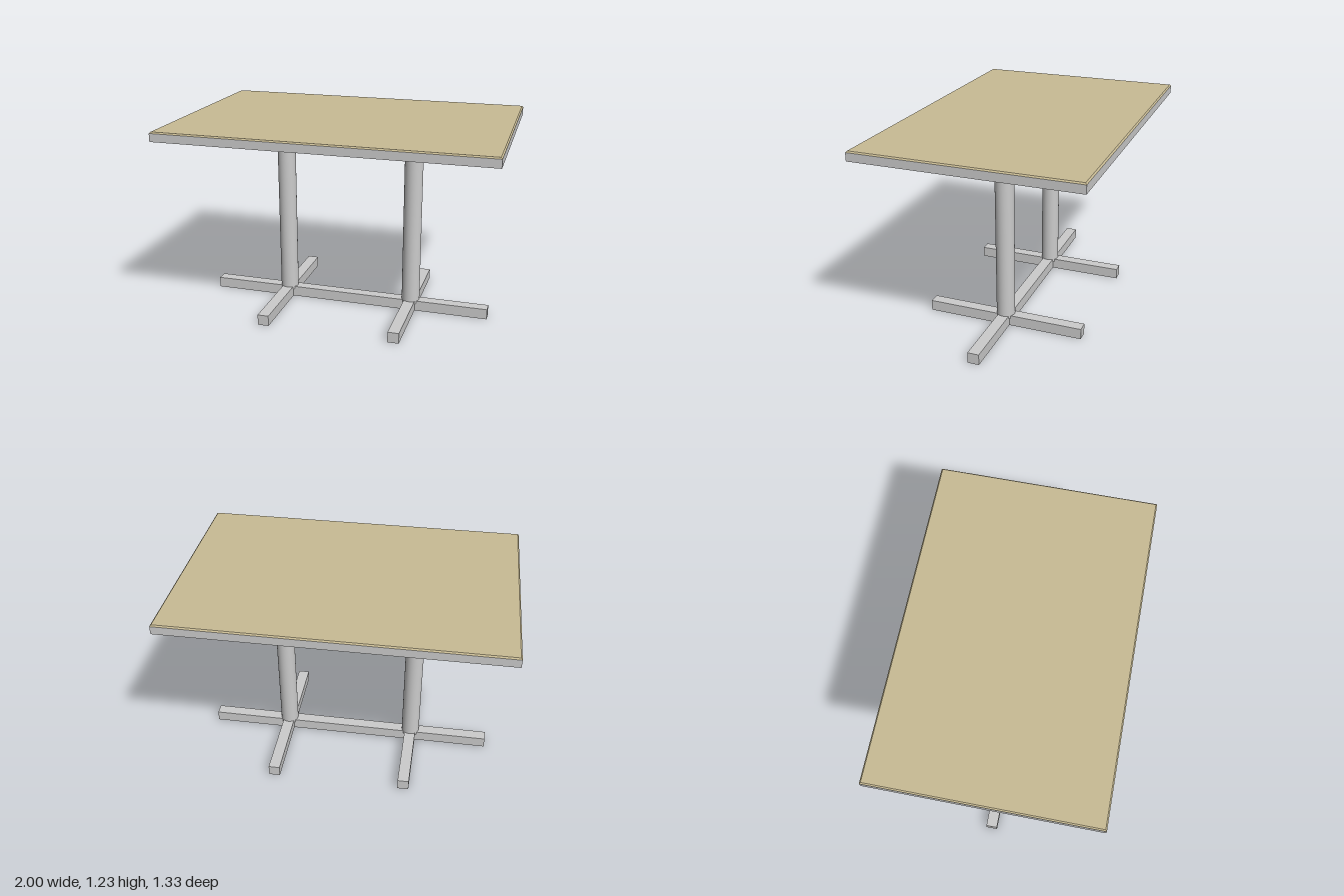
import * as THREE from 'three';

const grey = new THREE.MeshStandardMaterial({ color: 0xcccccc });
const tan = new THREE.MeshStandardMaterial({ color: 0xc8bb94 });

function add(parent, name, geometry, material, x, y, z) {
  const mesh = new THREE.Mesh(geometry, material);
  mesh.name = name;
  mesh.position.set(x, y, z);
  parent.add(mesh);
  return mesh;
}

// Box whose upper rim is drawn in by a chamfer
function chamferedSheet(w, h, d, inset) {
  const g = new THREE.BoxGeometry(w, h, d);
  const p = g.attributes.position;
  for (let i = 0; i < p.count; i++) {
    if (p.getY(i) > 0) {
      p.setX(i, p.getX(i) - Math.sign(p.getX(i)) * inset);
      p.setZ(i, p.getZ(i) - Math.sign(p.getZ(i)) * inset);
    }
  }
  const flat = g.toNonIndexed();
  flat.computeVertexNormals();
  return flat;
}

export function createModel() {
  const table = new THREE.Group();
  table.name = 'table';

  const length = 2, depth = 1.334;
  const slabBottom = 1.172, slabTop = 1.222, top = 1.23;
  const beamHeight = 0.067, beamWidth = 0.07;
  const legX = 0.413, columnBottom = 0.05, plateBottom = 1.14;

  // Table top: slab with a thin coloured surface
  add(table, 'topSlab', new THREE.BoxGeometry(length, slabTop - slabBottom, depth), grey,
    0, (slabTop + slabBottom) / 2, 0);
  add(table, 'topSurface', chamferedSheet(length, top - slabTop, depth, 0.008), tan,
    0, (top + slabTop) / 2, 0);

  // Long floor beam joining both pedestals
  add(table, 'longBeam', new THREE.BoxGeometry(1.824, beamHeight, beamWidth), grey,
    0, beamHeight / 2, 0);

  // Two pedestals: cross foot, column and mounting plate
  for (const side of [-1, 1]) {
    const pedestal = new THREE.Group();
    pedestal.name = side > 0 ? 'leftPedestal' : 'rightPedestal';
    pedestal.position.x = side * legX;
    table.add(pedestal);

    add(pedestal, 'crossFoot', new THREE.BoxGeometry(beamWidth, beamHeight, 0.994), grey,
      0, beamHeight / 2, 0);
    add(pedestal, 'column',
      new THREE.CylinderGeometry(0.057, 0.057, plateBottom - columnBottom, 32), grey,
      0, (plateBottom + columnBottom) / 2, 0);
    add(pedestal, 'mountingPlate',
      new THREE.CylinderGeometry(0.165, 0.165, slabBottom - plateBottom, 40), grey,
      0, (slabBottom + plateBottom) / 2, 0);
  }
  return table;
}
